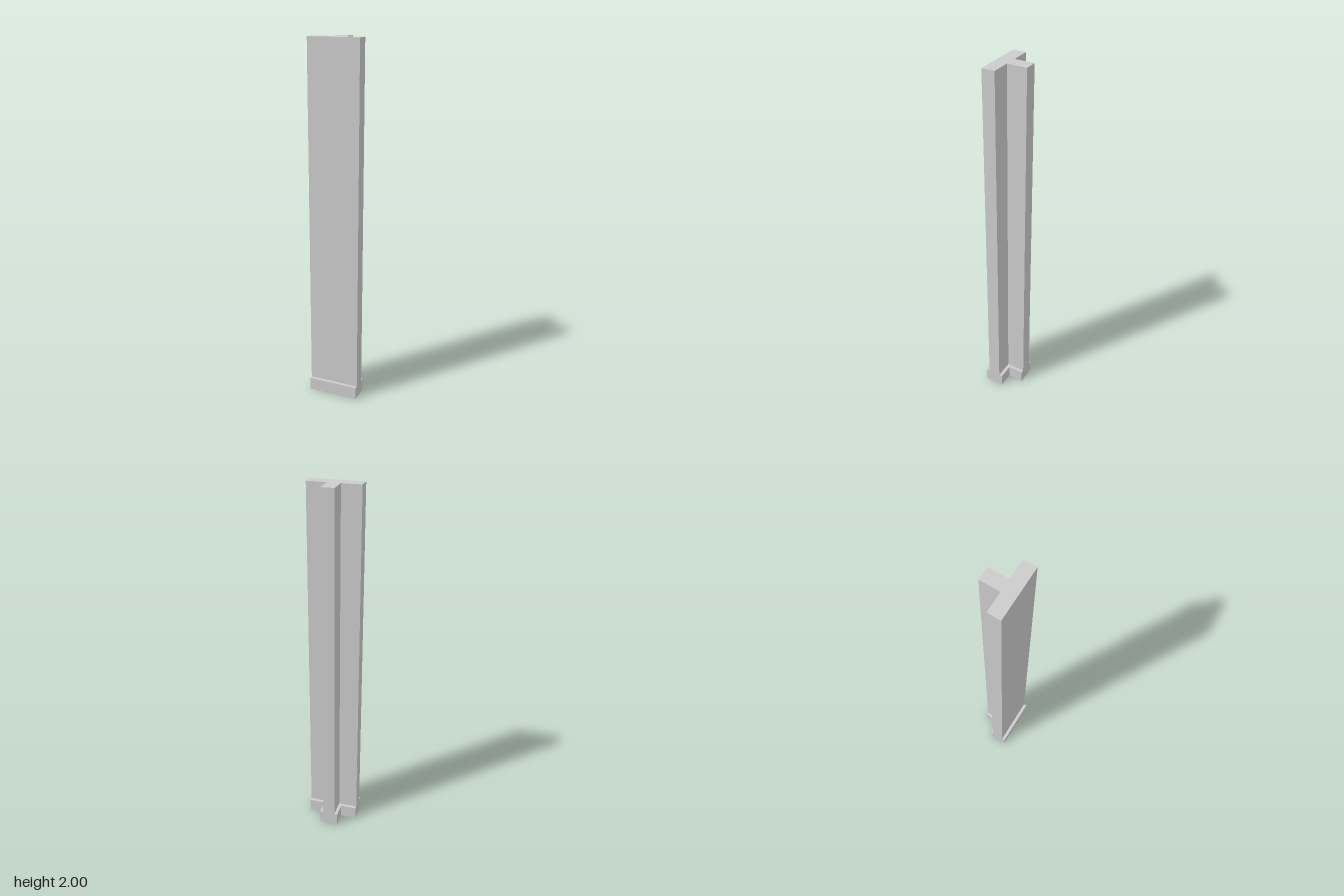
import * as THREE from 'three';

// T-shaped prism: wide plate at the front, narrow rib running to the back
function teePrism(name, halfRib, ledgeZ, frontZ, y0, y1) {
  const halfPlate = 0.142, backZ = -0.0975;
  const shape = new THREE.Shape([
    [-halfPlate, frontZ], [halfPlate, frontZ], [halfPlate, ledgeZ], [halfRib, ledgeZ],
    [halfRib, backZ], [-halfRib, backZ], [-halfRib, ledgeZ], [-halfPlate, ledgeZ],
  ].map(([x, z]) => new THREE.Vector2(x, -z)));
  const geometry = new THREE.ExtrudeGeometry(shape, { depth: y1 - y0, bevelEnabled: false });
  geometry.rotateX(-Math.PI / 2).translate(0, y0, 0);
  const mesh = new THREE.Mesh(geometry, new THREE.MeshStandardMaterial({ color: 0xcccccc }));
  mesh.name = name;
  return mesh;
}

export function createModel() {
  const group = new THREE.Group();
  group.name = 'wallPost';
  const baseTop = 0.073;
  // Skirting is slightly thicker than the shaft, flush at the sides and back
  group.add(teePrism('skirting', 0.053, -0.01, 0.0975, 0, baseTop));
  group.add(teePrism('shaft', 0.035, 0.009, 0.079, baseTop, 2));
  return group;
}
